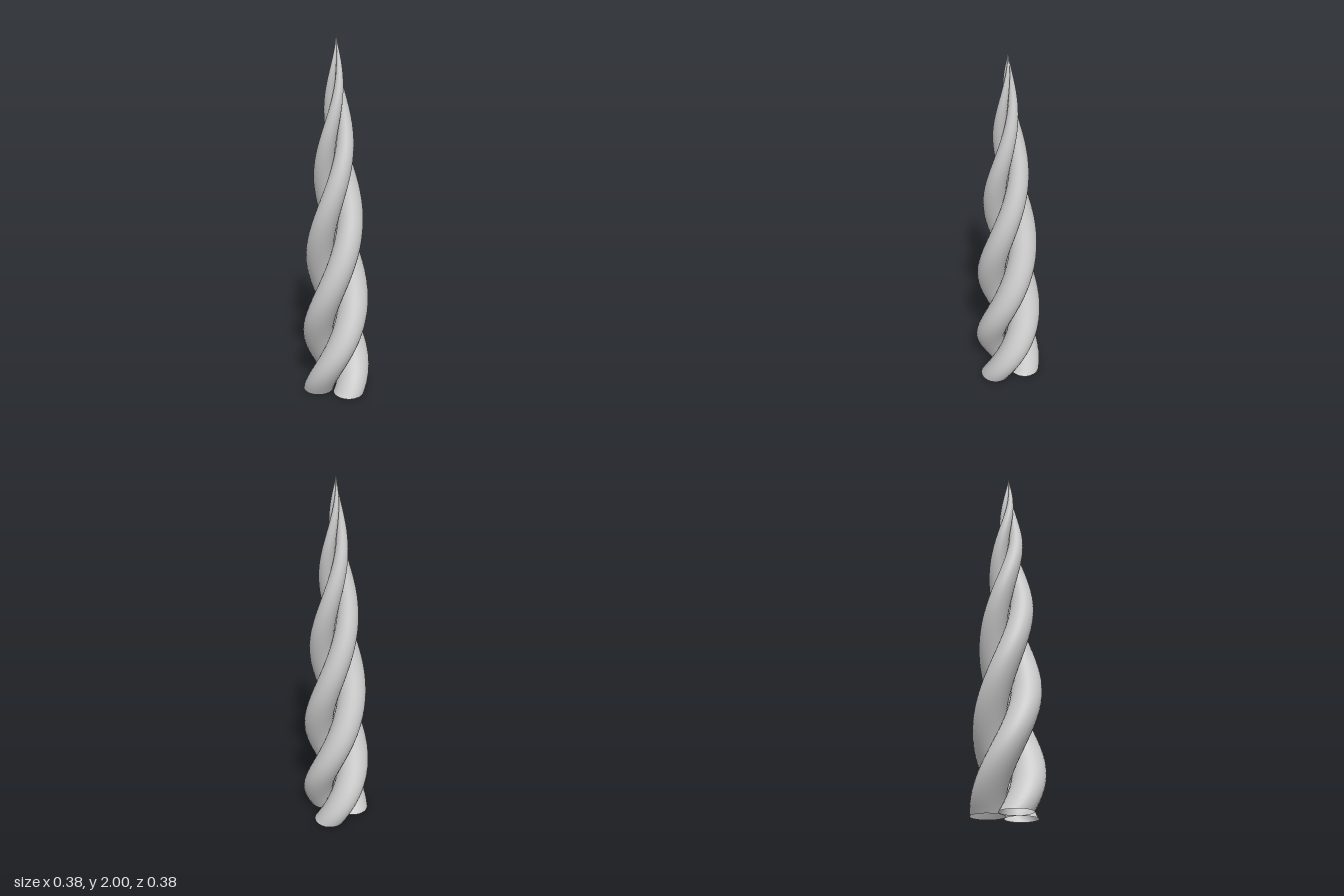
import * as THREE from 'three';

const HEIGHT = 2, RINGS = 72, SIDES = 28;
const ORBIT = 0.104, THICKNESS = 0.088;

// Taper from full width at the base to a point at the tip
const taper = (y) => 1 - Math.pow(y / HEIGHT, 2.3);

// Twist in degrees: a little quicker towards both ends
function twist(y) {
  const u = y - 1;
  return 277 + 235 * u + 18 * u * u + 45 * u * u * u;
}

// One strand: horizontal circles that circle the axis as they rise
function strandGeometry(startDegrees) {
  const positions = [], indices = [];
  for (let i = 0; i <= RINGS; i++) {
    const y = (HEIGHT * i) / RINGS;
    const s = Math.max(taper(y), 0.002);
    const phi = THREE.MathUtils.degToRad(twist(y) + startDegrees);
    for (let j = 0; j < SIDES; j++) {
      const a = phi + (j / SIDES) * Math.PI * 2;
      positions.push(
        s * (ORBIT * Math.sin(phi) + THICKNESS * Math.sin(a)),
        y,
        s * (ORBIT * Math.cos(phi) + THICKNESS * Math.cos(a))
      );
      if (i === RINGS) continue;
      const k = (j + 1) % SIDES;
      const p = i * SIDES + j, q = i * SIDES + k;
      indices.push(p, q, q + SIDES, p, q + SIDES, p + SIDES);
    }
  }
  const geometry = new THREE.BufferGeometry();
  geometry.setAttribute('position', new THREE.Float32BufferAttribute(positions, 3));
  geometry.setIndex(indices);
  geometry.computeVertexNormals();
  return geometry;
}

export function createModel() {
  const group = new THREE.Group();
  group.name = 'twistedHorn';
  const material = new THREE.MeshStandardMaterial({ color: 0xcccccc, side: THREE.DoubleSide });

  // Three equal strands, open at the base
  for (let n = 0; n < 3; n++) {
    const strand = new THREE.Mesh(strandGeometry(n * 120), material);
    strand.name = `strand${n + 1}`;
    group.add(strand);
  }
  group.position.x = -0.003;
  return group;
}
